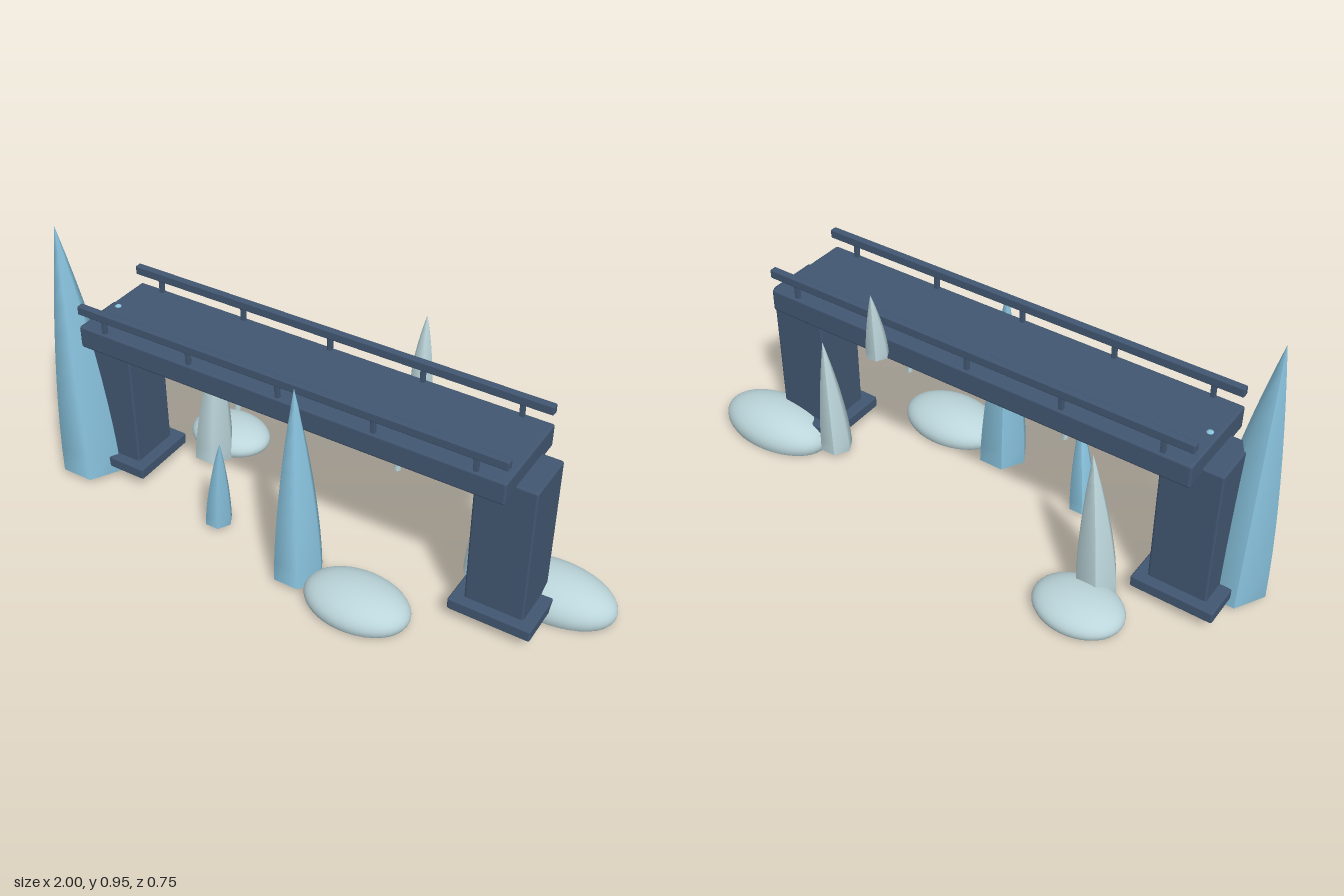
import * as THREE from 'three';
import { RoundedBoxGeometry } from 'three/addons/geometries/RoundedBoxGeometry.js';

function flat(name, color) {
  const m = new THREE.MeshStandardMaterial({ color });
  m.name = name;
  return m;
}

export function createModel() {
  const model = new THREE.Group();
  model.name = 'frozenBridge';
  const slate = flat('slateBlue', 0x415671);
  const ice = flat('iceBlue', 0x88c2dd);
  const frost = flat('paleFrost', 0xbbd5da);
  frost.side = THREE.DoubleSide; // the mounds are open underneath

  function add(name, geometry, material, x, y, z) {
    const mesh = new THREE.Mesh(geometry, material);
    mesh.name = name;
    mesh.position.set(x, y, z);
    model.add(mesh);
  }

  // Softly bevelled block given by its extents
  function block(name, x0, x1, y0, y1, z0, z1, bevel) {
    add(name, new RoundedBoxGeometry(x1 - x0, y1 - y0, z1 - z0, 2, bevel), slate,
      (x0 + x1) / 2, (y0 + y1) / 2, (z0 + z1) / 2);
  }

  // Six-sided spike with bulging flanks and a leaning tip
  function spike(name, material, x, z, r, y0, y1, tipX = x, tipZ = z) {
    const h = y1 - y0;
    const g = new THREE.CylinderGeometry(0, r, h, 6, 10, false, Math.PI * 7 / 6);
    const p = g.attributes.position;
    for (let i = 0; i < p.count; i++) {
      const t = Math.min(1, Math.max(0, p.getY(i) / h + 0.5));
      const k = t > 0.999 ? 0 : (1 - t ** 1.6) / (1 - t);
      const lean = t ** 1.3;
      p.setXYZ(i, p.getX(i) * k + (tipX - x) * lean, t * h, p.getZ(i) * k + (tipZ - z) * lean);
    }
    g.computeVertexNormals();
    add(name, g, material, x, y0, z);
  }

  // Flattened snow mound, open underneath
  function mound(name, x, z, rx, rz, y0, y1) {
    const cut = 0.6 * Math.PI;
    const ry = (y1 - y0) / (1 - Math.cos(cut));
    const g = new THREE.SphereGeometry(1, 36, 18, 0, Math.PI * 2, 0, cut);
    g.scale(rx, ry, rz);
    add(name, g, frost, x, y1 - ry, z);
  }

  // Deck
  block('deck', -0.817, 0.712, 0.563, 0.643, -0.149, 0.182, 0.008);

  // Pillars and footings
  for (const [side, x] of [['right', -0.785], ['left', 0.681]]) {
    block(side + 'Pillar', x - 0.1, x + 0.1, 0.07, 0.585, -0.074, 0.108, 0.008);
    block(side + 'Footing', x - 0.14, x + 0.14, 0.047, 0.089, -0.109, 0.143, 0.006);
  }

  // Railings
  for (const [side, z] of [['front', 0.168], ['back', -0.134]]) {
    block(side + 'Rail', -0.817, 0.712, 0.687, 0.718, z - 0.0125, z + 0.0125, 0.004);
    for (let i = 0; i < 5; i++) {
      const x = -0.719 + i * 0.3325;
      block(side + 'RailPost', x - 0.0075, x + 0.0075, 0.638, 0.692, z - 0.0075, z + 0.0075, 0.002);
    }
  }

  // Icicles in a row beneath the deck
  for (let i = 0; i < 6; i++) {
    spike('icicle', frost, -0.519 + i * 0.2, 0.012, 0.012, [0.43, 0.40, 0.45][i % 3], 0.57);
  }

  // Blue ice spires
  spike('tallSpire', ice, -0.885, 0.115, 0.115, 0.017, 0.946, -0.93, 0.118);
  spike('middleSpire', ice, 0.043, 0.216, 0.088, 0.017, 0.715, 0.02, 0.19);
  spike('smallSpire', ice, -0.32, 0.148, 0.048, 0.017, 0.37, -0.284, 0.168);

  // Pale frost spires
  spike('rearSpire', frost, -0.55, -0.148, 0.073, 0.017, 0.54, -0.51, -0.149);
  spike('sideSpire', frost, 0.545, -0.082, 0.057, 0.017, 0.452, 0.57, -0.084);
  spike('floatingSpire', frost, 0.248, -0.186, 0.038, 0.6, 0.832, 0.246, -0.206);

  // Ice nub poking through the deck
  add('iceNub', new THREE.SphereGeometry(0.014, 12, 8), ice, -0.787, 0.635, 0.017);

  // Snow mounds
  mound('rearMound', -0.553, -0.257, 0.153, 0.117, 0.012, 0.092);
  mound('frontMound', 0.283, 0.25, 0.183, 0.122, 0.007, 0.105);
  mound('sideMound', 0.787, -0.117, 0.213, 0.123, 0, 0.118);

  return model;
}
